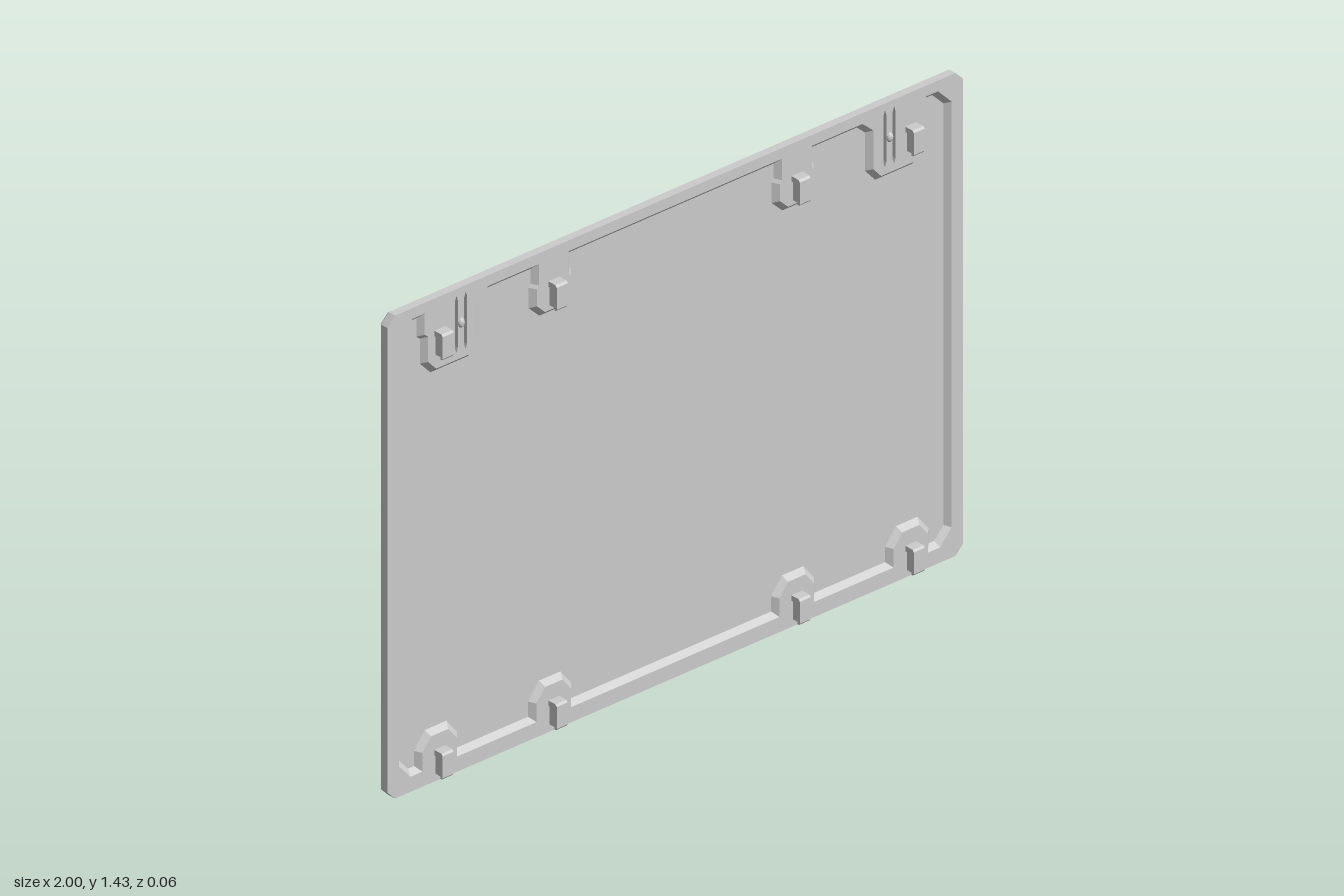
import * as THREE from 'three';

const BACK = -0.032, BEVEL = -0.026, FLOOR = -0.017, FACE = -0.001, FRONT = 0.032;
const W = 1, H = 1.43;

const vecs = (list) => list.map(([x, y]) => new THREE.Vector2(x, y));

// Moves every edge of a counter-clockwise outline inwards by d
function inset(pts, d) {
  const normal = (a, b) => new THREE.Vector2(a.y - b.y, b.x - a.x).normalize();
  return pts.map((p, i) => {
    const n1 = normal(pts[(i + pts.length - 1) % pts.length], p);
    const n2 = normal(p, pts[(i + 1) % pts.length]);
    return p.clone().addScaledVector(n1.clone().add(n2), d / (1 + n1.dot(n2)));
  });
}

// Flat-sided band through outlines: rings = [[points, z], ...]
function loft(rings) {
  const pos = [];
  for (let r = 0; r + 1 < rings.length; r++) {
    const [a, za] = rings[r], [b, zb] = rings[r + 1];
    for (let i = 0; i < a.length; i++) {
      const j = (i + 1) % a.length;
      const A = [a[i].x, a[i].y, za], B = [b[i].x, b[i].y, zb];
      const C = [b[j].x, b[j].y, zb], D = [a[j].x, a[j].y, za];
      pos.push(...A, ...B, ...C, ...A, ...C, ...D);
    }
  }
  const g = new THREE.BufferGeometry();
  g.setAttribute('position', new THREE.Float32BufferAttribute(pos, 3));
  g.computeVertexNormals();
  return g;
}

function face(pts, z, holes = []) {
  const shape = new THREE.Shape(pts);
  shape.holes = holes.map((h) => new THREE.Path(h));
  return new THREE.ShapeGeometry(shape).translate(0, 0, z);
}

// Right half of the recess opening, from bottom centre round to top centre
function recessOutline() {
  const half = [];
  for (const c of [0.422, 0.818]) {
    half.push([c - 0.06, 0.045], [c - 0.06, 0.1], [c - 0.03, 0.138],
      [c + 0.03, 0.138], [c + 0.06, 0.1], [c + 0.06, 0.045]);
  }
  half.push([0.92, 0.045], [0.96, 0.09], [0.96, 1.35], [0.912, 1.398]);
  // corner pad with its stepped outer side
  half.push([0.87, 1.398], [0.87, 1.335], [0.858, 1.325], [0.858, 1.25], [0.83, 1.22],
    [0.715, 1.22], [0.688, 1.25], [0.688, 1.365], [0.65, 1.398]);
  // inner pad, a little narrower at the neck
  half.push([0.474, 1.398], [0.474, 1.335], [0.48, 1.325], [0.48, 1.275], [0.452, 1.248],
    [0.392, 1.248], [0.364, 1.275], [0.364, 1.325], [0.37, 1.335], [0.37, 1.398]);
  const mirrored = half.map(([x, y]) => [-x, y]).reverse();
  return vecs([...half, ...mirrored]);
}

// Slim slot with pointed ends
function slotOutline(x) {
  const w = 0.005;
  return vecs([[x, 1.24], [x + w, 1.255], [x + w, 1.395], [x, 1.41], [x - w, 1.395], [x - w, 1.255]]);
}

export function createModel() {
  const group = new THREE.Group();
  const mat = new THREE.MeshStandardMaterial({ color: 0xcccccc, flatShading: true });
  const add = (name, geometry, parent = group) => {
    const mesh = new THREE.Mesh(geometry, mat);
    mesh.name = name;
    parent.add(mesh);
    return mesh;
  };

  // Panel shell with clipped corners and a small bevel round the back
  const k = 0.027;
  const outer = vecs([[-W + k, 0], [W - k, 0], [W, k], [W, H - k],
    [W - k, H], [-W + k, H], [-W, H - k], [-W, k]]);
  const back = inset(outer, 0.005);
  const opening = recessOutline();
  const bed = inset(opening, 0.015);
  const slots = [-0.76, -0.728, 0.728, 0.76].map(slotOutline);

  add('panelEdge', loft([[outer, FACE], [outer, BEVEL], [back, BACK]]));
  add('panelBack', face(back, 0).rotateY(Math.PI).translate(0, 0, BACK));
  add('frontRim', face(outer, FACE, [opening, ...slots]));
  add('recessWall', loft([[bed, FLOOR], [opening, FACE]]));
  add('recessFloor', face(bed, FLOOR));

  // Flex slots beside the latch bumps
  for (const s of slots) {
    add('slotWall', loft([[s, FLOOR], [s, FACE]]));
    add('slotFloor', face(s, FLOOR));
  }

  // Clips: a narrow rib under an L-shaped cap
  const cap = new THREE.Shape(vecs([[FACE, 0.06], [0.023, 0.06], [0.023, 0], [0.028, 0],
    [FRONT, 0.005], [FRONT, 0.07], [0.027, 0.076], [FACE, 0.076]]));
  const capGeo = new THREE.ExtrudeGeometry(cap, { depth: 0.038, bevelEnabled: false })
    .translate(0, 0, -0.019).rotateY(-Math.PI / 2);
  // the profile's first axis becomes z
  const ribGeo = new THREE.BoxGeometry(0.028, 0.058, 0.024).translate(0, 0.032, 0.011);
  for (const y of [0.018, 1.259]) {
    for (const x of [-0.818, -0.422, 0.422, 0.818]) {
      const clip = new THREE.Group();
      clip.name = 'clip';
      clip.position.set(x, y, 0);
      add('clipCap', capGeo, clip);
      add('clipRib', ribGeo, clip);
      group.add(clip);
    }
  }

  // Latch bumps between the slots
  for (const x of [-0.744, 0.744]) {
    const bump = add('latchBump', new THREE.SphereGeometry(0.014, 12, 6, 0, Math.PI * 2, 0, Math.PI / 2)
      .rotateX(Math.PI / 2).scale(0.75, 1, 0.65));
    bump.position.set(x, 1.325, FACE);
  }
  return group;
}
